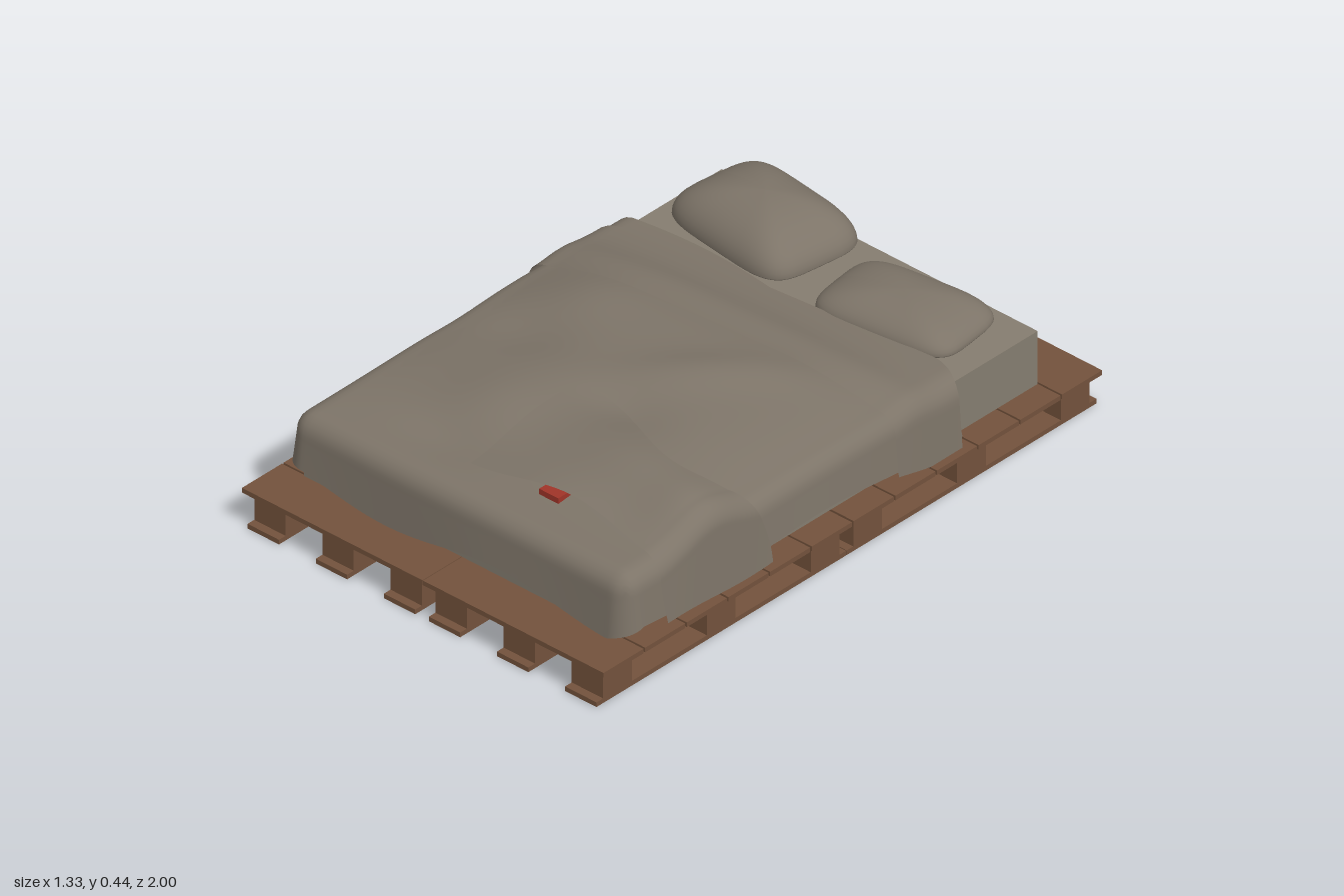
import * as THREE from 'three';

const mat = (color, extra = {}) => new THREE.MeshStandardMaterial({ color, ...extra });
const { lerp, clamp, smoothstep } = THREE.MathUtils;
const bump = (x, z, cx, cz, sx, sz) => Math.exp(-(((x - cx) / sx) ** 2) - ((z - cz) / sz) ** 2);

const CORE_X = 0.56, CORE_Z = 0.8, DROP = 0.24; // flat area of the bed top and length of cloth hanging down

// Height of the rumpled blanket over the bed
function blanketTop(x, z) {
  const dome = (1 - Math.abs(x / CORE_X) ** 3) * (1 - smoothstep(z, 0.2, 0.85)) * smoothstep(z, -0.5, -0.08);
  const s = (x + z) * 0.707 - 0.13, t = (x - z) * 0.707; // diagonal ridge
  return 0.322 + 0.055 * dome
    + 0.014 * bump(x, z, 0, 0.05, 0.9, 0.4)
    + 0.02 * Math.exp(-((s / 0.09) ** 2) - ((t - 0.1) / 0.25) ** 2)
    - 0.022 * bump(x, z, -0.38, 0.2, 0.16, 0.12)
    - 0.018 * bump(x, z, 0.1, 0.3, 0.14, 0.1)
    + 0.022 * bump(x, z, -0.2, 0.48, 0.16, 0.14)
    - 0.012 * bump(x, z, -0.2, 0.68, 0.14, 0.08)
    + 0.012 * bump(x, z, -0.35, -0.05, 0.14, 0.12);
}

// Cloth sheet: lies on the bed, then bends over the edges and hangs to its hem
function cloth(name, material, { x0, x1, back, front, top, hem, lift = 0 }) {
  const geo = new THREE.PlaneGeometry(1, 1, 90, 90).rotateX(-Math.PI / 2);
  const p = geo.attributes.position;
  const r = 0.06 + lift;
  for (let i = 0; i < p.count; i++) {
    const X = lerp(x0, x1, p.getX(i) + 0.5);
    const Z = lerp(back(X), front(X), p.getZ(i) + 0.5);
    const cx = clamp(X, -CORE_X, CORE_X), cz = Math.min(Z, CORE_Z);
    const dx = X - cx, dz = Z - cz;
    const d = Math.max(Math.abs(dx), dz), len = Math.hypot(dx, dz) || 1;
    const bend = Math.min(d / r, Math.PI / 2);
    const hang = clamp((d - r * Math.PI / 2) / (DROP - r * Math.PI / 2), 0, 1);
    const out = r * Math.sin(bend) + 0.012 * hang;
    const y = top(cx, cz) + lift - r * (1 - Math.cos(bend));
    const wFront = dz / (Math.abs(dx) + dz || 1);
    p.setXYZ(i, cx + dx / len * out, lerp(y, hem(cx, cz, wFront), hang), cz + dz / len * out);
  }
  geo.computeVertexNormals();
  const mesh = new THREE.Mesh(geo, material);
  mesh.name = name;
  return mesh;
}

// Pillow: sphere squared off in plan, domed above and nearly flat below
function pillow(name, material, w, h, d, x, z, turn) {
  const geo = new THREE.SphereGeometry(1, 48, 24);
  const p = geo.attributes.position;
  const square = (v) => Math.sign(v) * Math.abs(v) ** 0.45;
  for (let i = 0; i < p.count; i++) {
    const px = p.getX(i), y = p.getY(i), pz = p.getZ(i);
    const s = Math.hypot(px, pz) || 1e-6;
    const plan = Math.min(1, s);
    p.setXYZ(i, square(px / s) * plan * w / 2, y > 0 ? y * (h - 0.03) : y * 0.03, square(pz / s) * plan * d / 2);
  }
  geo.computeVertexNormals();
  const mesh = new THREE.Mesh(geo, material);
  mesh.name = name;
  mesh.position.set(x, 0.32, z);
  mesh.rotation.y = turn;
  return mesh;
}

export function createModel() {
  const model = new THREE.Group();
  const wood = mat(0x73523c);
  const fabric = mat(0x7d7468, { side: THREE.DoubleSide });

  const box = (parent, name, material, w, h, d, x, y, z) => {
    const mesh = new THREE.Mesh(new THREE.BoxGeometry(w, h, d), material);
    mesh.name = name;
    mesh.position.set(x, y, z);
    parent.add(mesh);
  };

  // Four pallets, two by two
  for (const px of [-0.3325, 0.3325]) for (const pz of [-0.5, 0.5]) {
    const pallet = new THREE.Group();
    pallet.name = 'pallet';
    pallet.position.set(px, 0, pz);
    for (let i = 0; i < 6; i++) {
      box(pallet, 'deckBoard', wood, 0.662, 0.015, 0.16, 0, 0.1125, (i - 2.5) * 0.1665);
    }
    for (const x of [-0.25, 0, 0.25]) {
      box(pallet, 'runner', wood, 0.115, 0.015, 0.998, x, 0.0075, 0);
      for (const z of [-0.415, 0, 0.415]) box(pallet, 'block', wood, 0.115, 0.09, 0.115, x, 0.06, z);
    }
    model.add(pallet);
  }

  // Mattress
  box(model, 'mattress', mat(0x857d70), 1.16, 0.172, 1.67, 0, 0.206, 0.005);

  // Main blanket with a wavy hem and a dark lining
  const blanket = {
    x0: -CORE_X - DROP, x1: CORE_X + DROP,
    back: (x) => -0.45 + 0.03 * Math.sin(x * 5),
    front: () => CORE_Z + DROP,
    top: blanketTop,
    hem: (x, z, w) => lerp(
      0.165 + 0.017 * Math.cos((z - 0.1) * 6.3),
      0.147 + 0.024 * Math.cos((x - 0.17) * 7.4), w),
  };
  model.add(cloth('blanket', fabric, blanket));
  model.add(cloth('blanketLining', mat(0x3a3040, { side: THREE.DoubleSide }), { ...blanket, lift: -0.008 }));

  // Band folded back near the pillows
  model.add(cloth('foldedBand', fabric, {
    x0: -CORE_X - DROP, x1: CORE_X + DROP,
    back: (x) => -0.455 - 0.05 * clamp(x / 0.5, -1, 1) + 0.04 * smoothstep(Math.abs(x), 0.5, 0.65),
    front: (x) => -0.16 - 0.05 * clamp(x / 0.6, -1, 1),
    top: (x, z) => blanketTop(x, z) + 0.012 * bump(x, z, 0, -0.26 - 0.08 * x, 2, 0.07),
    hem: (x, z) => 0.14 + 0.03 * Math.sin(z * 8 + 2),
    lift: 0.008,
  }));

  // Throw draped over the left side near the foot
  model.add(cloth('throw', fabric, {
    x0: -0.07, x1: CORE_X + DROP,
    back: (x) => 0.36 - 0.065 * Math.cos((x - 0.02) * 8),
    front: (x) => 0.71 + 0.02 * Math.cos((x + 0.05) * 9),
    top: (x, z) => blanketTop(x, z) + 0.052 * bump(x, z, 0.36, 0.5, 0.3, 0.15)
      + 0.022 * bump(x, z, 0.2, 0.72, 0.2, 0.12) + 0.03 * bump(x, z, 0.56, 0.52, 0.12, 0.14),
    hem: (x, z) => 0.128 + 0.006 * Math.sin(z * 12),
    lift: 0.01,
  }));

  // Red cloth tucked under the throw
  box(model, 'redCloth', mat(0xa03428), 0.07, 0.025, 0.06, 0.195, 0.335, 0.675);

  // Pillows
  model.add(pillow('rightPillow', fabric, 0.49, 0.15, 0.355, -0.28, -0.675, -0.13));
  model.add(pillow('leftPillow', fabric, 0.465, 0.105, 0.3, 0.28, -0.625, 0.13));

  return model;
}
